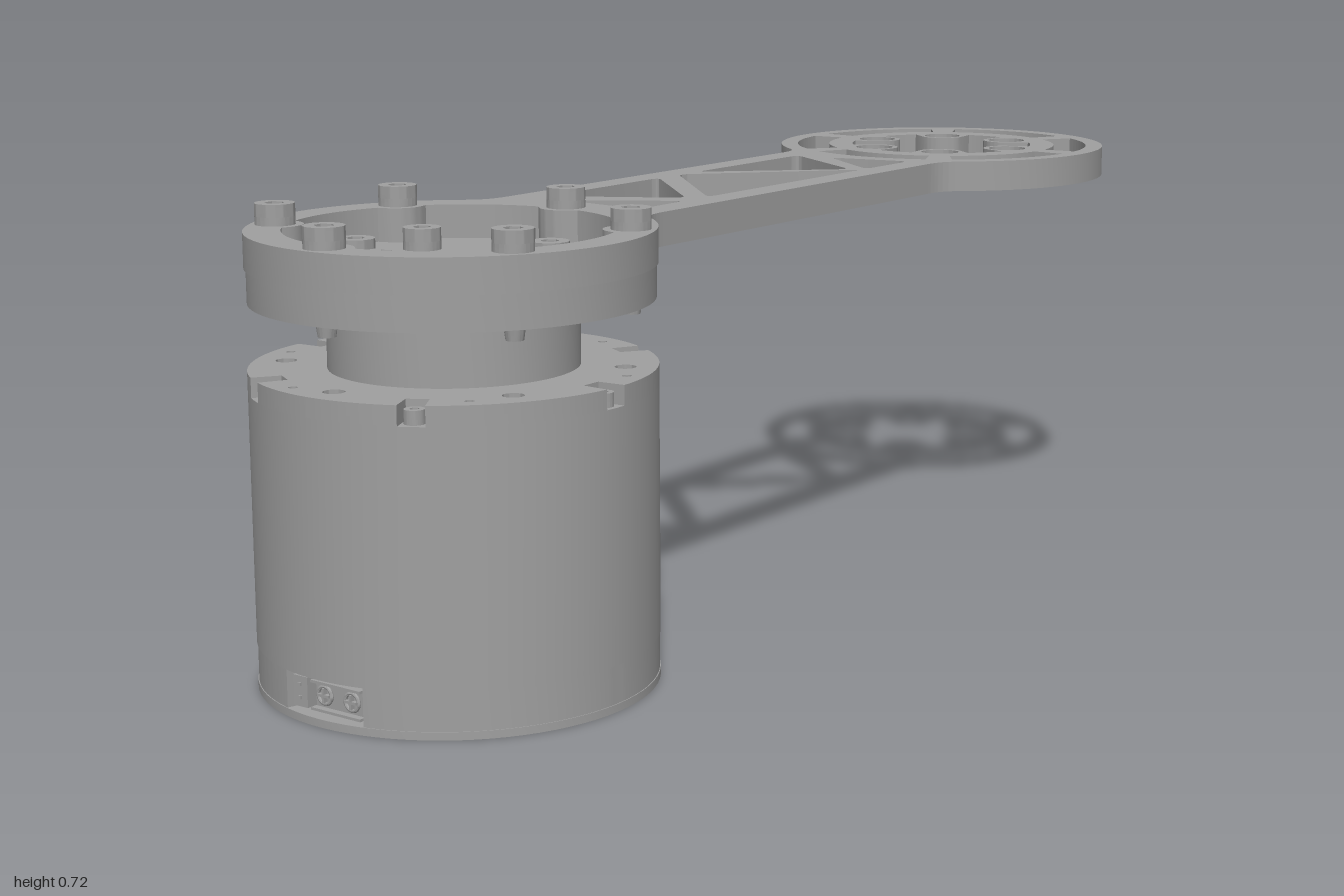
import * as THREE from 'three';
import { toCreasedNormals } from 'three/addons/utils/BufferGeometryUtils.js';

const metal = new THREE.MeshStandardMaterial({ color: 0xa0a0a0 });
metal.name = 'grey metal';
const TAU = Math.PI * 2, DEG = Math.PI / 180;
const MX = -0.697, AX = 0.697, R = 0.303;

const polar = (cx, r, a) => new THREE.Vector2(cx + r * Math.cos(a), r * Math.sin(a));
const sixfold = (start) => Array.from({ length: 6 }, (_, i) => start + i * TAU / 6);

function mesh(name, geo, parent) {
  const m = new THREE.Mesh(toCreasedNormals(geo, 0.5), metal);
  m.name = name;
  parent.add(m);
  return m;
}

// Horizontal plate: shape x -> x, shape y -> z, between heights y0 and y1
function slab(shape, y0, y1) {
  return new THREE.ExtrudeGeometry(shape, { depth: y1 - y0, bevelEnabled: false, curveSegments: 40 })
    .rotateX(Math.PI / 2).translate(0, y1, 0);
}

function circle(p, r, Kind = THREE.Path) {
  const s = new Kind();
  s.absarc(p.x, p.y, r, 0, TAU, false);
  return s;
}

// Polygon opening with softened corners
function roundedHole(pts, r) {
  const v = pts.map(([x, z]) => new THREE.Vector2(x, z));
  const path = new THREE.Path();
  v.forEach((p, i) => {
    const prev = v[(i + v.length - 1) % v.length], next = v[(i + 1) % v.length];
    const a = p.clone().add(prev.clone().sub(p).setLength(r));
    const b = p.clone().add(next.clone().sub(p).setLength(r));
    if (i) path.lineTo(a.x, a.y); else path.moveTo(a.x, a.y);
    path.quadraticCurveTo(p.x, p.y, b.x, b.y);
  });
  path.closePath();
  return path;
}

// Round opening with six round bosses (radius b at distance d) reaching inwards
function lobedHole(cx, rad, d, b, start) {
  const pts = [];
  for (let i = 0; i < 240; i++) {
    const a = i / 240 * TAU;
    let r = rad;
    for (const s of sixfold(start)) {
      const q = b * b - (d * Math.sin(a - s)) ** 2;
      if (q > 0 && Math.cos(a - s) > 0) r = Math.min(r, d * Math.cos(a - s) - Math.sqrt(q));
    }
    pts.push(polar(cx, r, a));
  }
  return new THREE.Path(pts);
}

// Disc with straight-sided notches cut into the rim: [angle, half angle, depth]
function notchedDisc(rad, notches) {
  const s = new THREE.Shape();
  notches.forEach(([a, h, d], i) => {
    const p = polar(0, rad - d, a - h), q = polar(0, rad - d, a + h);
    if (i) s.lineTo(p.x, p.y); else s.moveTo(p.x, p.y);
    s.lineTo(q.x, q.y);
    const n = notches[(i + 1) % notches.length];
    const end = n[0] - n[1] + (i === notches.length - 1 ? TAU : 0);
    s.absarc(0, 0, rad, a + h, end, false);
  });
  return s;
}

// Cap screw with a hexagonal socket, standing on y = 0
function screw(name, r, h, parent, p, y) {
  const g = new THREE.Group();
  g.name = name;
  const head = circle(new THREE.Vector2(), r, THREE.Shape);
  head.holes.push(new THREE.Path(sixfold(0).map((a) => polar(0, r * 0.5, a))));
  mesh('screwHead', slab(head, h * 0.4, h), g);
  mesh('screwBase', new THREE.CylinderGeometry(r, r, h * 0.4, 24).translate(0, h * 0.2, 0), g);
  g.position.set(p.x, y, p.y);
  parent.add(g);
  return g;
}

// Plug set in a side pocket, facing +x
function powerPlug() {
  const g = new THREE.Group();
  g.name = 'powerConnector';
  const box = (name, w, h, d, x, y, z) => mesh(name, new THREE.BoxGeometry(w, h, d).translate(x, y, z), g);
  box('signalSocket', 0.018, 0.046, 0.028, 0.281, 0.041, 0.05);
  for (const y of [0.032, 0.052]) box('signalPin', 0.004, 0.005, 0.005, 0.291, y, 0.05);
  box('powerSocket', 0.01, 0.042, 0.094, 0.276, 0.041, -0.02);
  for (const y of [0.02, 0.061]) box('socketLip', 0.012, 0.004, 0.096, 0.286, y, -0.02);
  for (const z of [0.008, -0.045]) {
    mesh('pinCup', new THREE.TorusGeometry(0.013, 0.003, 8, 24).rotateY(Math.PI / 2).translate(0.283, 0.041, z), g);
    box('pinCross', 0.008, 0.004, 0.022, 0.284, 0.041, z);
    box('pinCross', 0.008, 0.022, 0.004, 0.284, 0.041, z);
  }
  return g;
}

function buildMotor() {
  const g = new THREE.Group();
  g.name = 'motor';
  g.position.x = MX;

  // Bottom cover with two rings of screw holes
  const base = circle(new THREE.Vector2(), R, THREE.Shape);
  for (let i = 0; i < 4; i++) {
    base.holes.push(circle(polar(0, 0.272, 35 * DEG + i * TAU / 4), 0.018));
    base.holes.push(circle(polar(0, 0.215, 47 * DEG + i * TAU / 4), 0.01));
  }
  mesh('bottomCover', slab(base, 0, 0.012), g);

  // Connector band with three side pockets
  const pockets = [[0, 0.25, 0.032], [Math.PI, 0.25, 0.032], [1.5 * Math.PI, 0.14, 0.032]];
  mesh('connectorBand', slab(notchedDisc(0.3015, pockets), 0.012, 0.07), g);
  const plug = powerPlug(), plug2 = powerPlug();
  plug2.rotation.y = Math.PI;
  g.add(plug, plug2);
  mesh('dataSocket', new THREE.BoxGeometry(0.06, 0.034, 0.016).translate(0, 0.036, -0.276), g);

  mesh('motorBody', new THREE.CylinderGeometry(R, R, 0.38, 96).translate(0, 0.26, 0), g);

  // Top cover: rim notches holding screws, plus small holes
  const top = notchedDisc(R, sixfold(Math.PI / 6).map((a) => [a, 0.066, 0.045]));
  for (const a of sixfold(0)) {
    top.holes.push(circle(polar(0, 0.255, a), 0.016));
    top.holes.push(circle(polar(0, 0.275, a + 0.25), 0.007));
  }
  mesh('topCover', slab(top, 0.45, 0.48), g);
  for (const a of sixfold(Math.PI / 6)) screw('rimScrew', 0.015, 0.021, g, polar(0, 0.28, a), 0.45);

  // Output neck with stepped bore, then the flange
  const profile = [[0.187, 0.48], [0.187, 0.58], [0.085, 0.58], [0.085, 0.53], [0.052, 0.53], [0.052, 0.49], [0, 0.49]];
  mesh('outputNeck', new THREE.LatheGeometry(profile.map(([x, y]) => new THREE.Vector2(x, y)), 72), g);
  const flange = circle(new THREE.Vector2(), 0.3, THREE.Shape);
  flange.holes.push(circle(new THREE.Vector2(), 0.087));
  mesh('outputFlange', slab(flange, 0.58, 0.632), g);

  for (const a of sixfold(0)) {
    const p = polar(0, 0.265, a);
    screw('innerScrew', 0.029, 0.034, g, polar(0, 0.145, a), 0.632);
    screw('outerScrew', 0.03, 0.032, g, p, 0.685);
    mesh('screwTip', new THREE.CylinderGeometry(0.016, 0.013, 0.02, 20).translate(p.x, 0.57, p.y), g);
  }
  return g;
}

function buildArm() {
  const g = new THREE.Group();
  g.name = 'arm';

  // Outline: two discs joined by a filleted bar
  const s = new THREE.Shape(), a = 37 * DEG, w = 0.157;
  s.absarc(MX, 0, R, a, TAU - a, false);
  s.quadraticCurveTo(-0.436, -w, -0.39, -w);
  s.lineTo(0.39, -w);
  const q = polar(AX, R, Math.PI + a);
  s.quadraticCurveTo(0.436, -w, q.x, q.y);
  s.absarc(AX, 0, R, Math.PI + a, 3 * Math.PI - a, false);
  s.quadraticCurveTo(0.436, w, 0.39, w);
  s.lineTo(-0.39, w);
  const e = polar(MX, R, a);
  s.quadraticCurveTo(-0.436, w, e.x, e.y);

  // Triangular lightening openings
  const truss = [
    [[-0.345, -0.108], [-0.05, -0.108], [-0.235, 0.085]],
    [[-0.37, -0.045], [-0.265, 0.106], [-0.385, 0.106]],
    [[0.01, -0.112], [0.25, 0.106], [-0.205, 0.106]],
    [[0.06, -0.108], [0.37, -0.108], [0.245, 0.085]],
    [[0.375, -0.04], [0.405, 0.106], [0.265, 0.106]],
  ];
  for (const t of truss) s.holes.push(roundedHole(t, 0.024));

  // Motor mount opening, and the hub with slots and counterbored holes
  s.holes.push(lobedHole(MX, 0.248, 0.265, 0.042, 0));
  s.holes.push(lobedHole(AX, 0.168, 0.143, 0.044, Math.PI / 6));
  for (const c of sixfold(0)) {
    const slot = new THREE.Path(), h = 25 * DEG;
    slot.absarc(AX, 0, 0.272, c - h, c + h, false);
    slot.absarc(AX, 0, 0.212, c + h, c - h, true);
    slot.closePath();
    s.holes.push(slot);
    s.holes.push(circle(polar(AX, 0.143, c + Math.PI / 6), 0.034));
  }
  mesh('armPlate', slab(s, 0.632, 0.685), g);
  for (const c of sixfold(Math.PI / 6)) {
    const p = polar(AX, 0.143, c);
    const ring = circle(p, 0.0345, THREE.Shape);
    ring.holes.push(circle(p, 0.019));
    mesh('counterboreSeat', slab(ring, 0.632, 0.655), g);
  }
  return g;
}

export function createModel() {
  const model = new THREE.Group();
  model.name = 'motorWithArm';
  model.add(buildMotor(), buildArm());
  return model;
}
